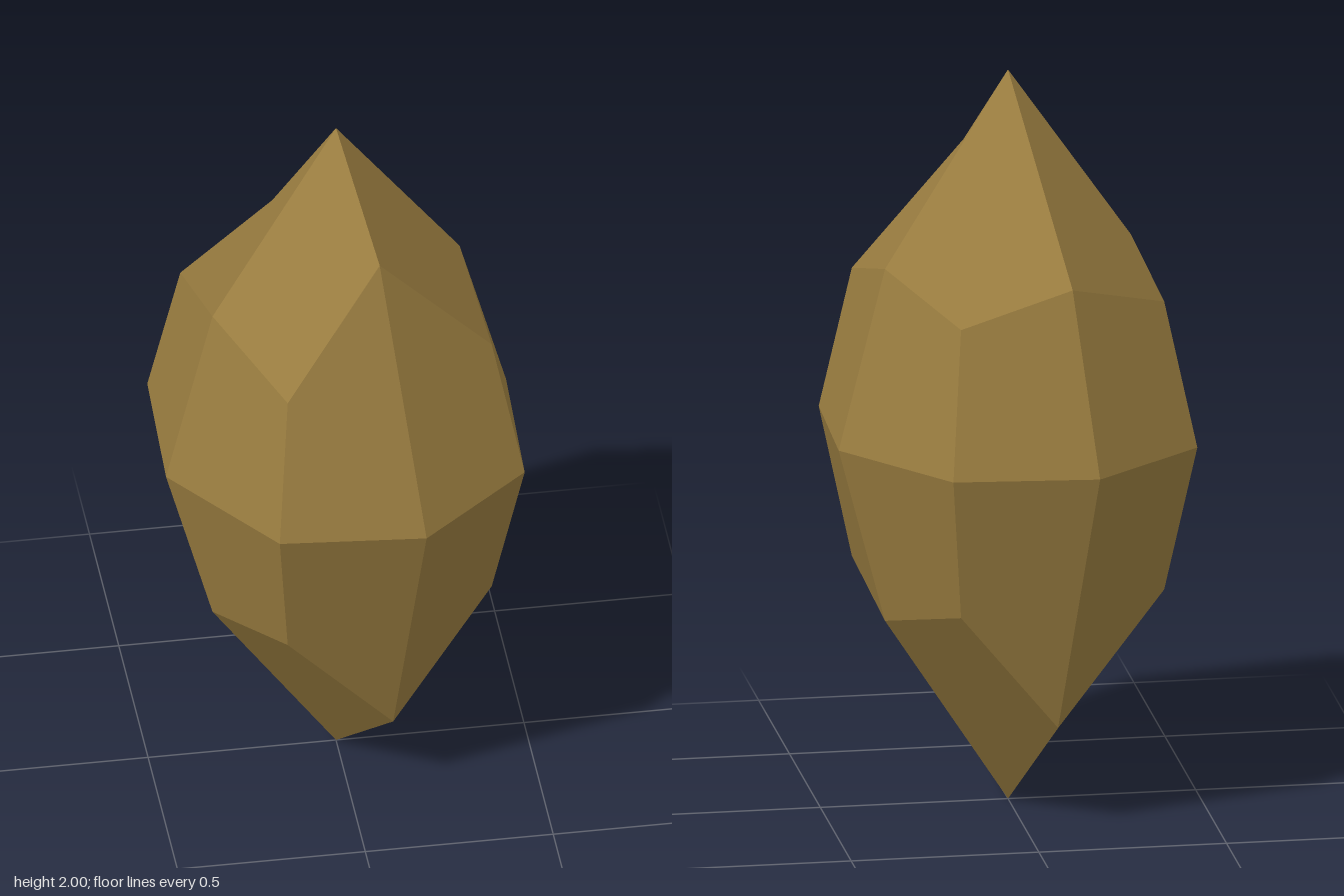
import * as THREE from 'three';

// Rings of eight corners, clockwise seen from above, starting at the back.
const girdle = [
  [-0.16, 1.02, -0.52], [0.225, 1.02, -0.485], [0.475, 1.02, -0.145], [0.46, 1.02, 0.27],
  [0.16, 1.02, 0.52], [-0.225, 1.02, 0.485], [-0.475, 1.02, 0.145], [-0.46, 1.02, -0.27],
];
const upperRing = [
  [-0.11, 1.5, -0.38], [0.19, 1.41, -0.395], [0.345, 1.5, -0.105], [0.38, 1.41, 0.22],
  [0.075, 1.735, 0.265], [-0.19, 1.41, 0.395], [-0.345, 1.5, 0.105], [-0.38, 1.41, -0.22],
];
const lowerRing = [
  [-0.08, 0.285, -0.325], [0.19, 0.62, -0.395], [0.345, 0.535, -0.105], [0.38, 0.62, 0.22],
  [0.11, 0.245, 0.27], [-0.19, 0.62, 0.395], [-0.345, 0.535, 0.105], [-0.38, 0.62, -0.22],
];

// Half of the crystal: eight side facets and four kite facets meeting at the tip.
function crystalHalf(ring, tip, flip) {
  const positions = [], normals = [];
  // Each facet is split along a-c and carries one shared normal.
  const facet = (...corners) => {
    let [a, b, c, d] = corners.map((p) => new THREE.Vector3(...p));
    if (flip) [b, d] = [d, b];
    const n = c.clone().sub(a).cross(d.clone().sub(b)).normalize();
    for (const p of [a, b, c, a, c, d]) {
      positions.push(p.x, p.y, p.z);
      normals.push(n.x, n.y, n.z);
    }
  };
  for (let i = 0; i < 8; i++) {
    const j = (i + 1) % 8;
    if (i % 2) {
      facet(girdle[j], girdle[i], ring[i], ring[j]);
    } else {
      facet(girdle[i], ring[i], ring[j], girdle[j]);
      facet(ring[(i + 2) % 8], ring[j], ring[i], tip);
    }
  }
  const geometry = new THREE.BufferGeometry();
  geometry.setAttribute('position', new THREE.Float32BufferAttribute(positions, 3));
  geometry.setAttribute('normal', new THREE.Float32BufferAttribute(normals, 3));
  return geometry;
}

export function createModel() {
  const model = new THREE.Group();
  model.name = 'crystal';
  const bronze = new THREE.MeshStandardMaterial({ color: 0x9a7d40 });
  bronze.name = 'bronze';

  const upper = new THREE.Mesh(crystalHalf(upperRing, [0, 2, 0], false), bronze);
  upper.name = 'upperCrystal';
  const lower = new THREE.Mesh(crystalHalf(lowerRing, [0, 0, 0], true), bronze);
  lower.name = 'lowerCrystal';
  model.add(upper, lower);
  return model;
}
